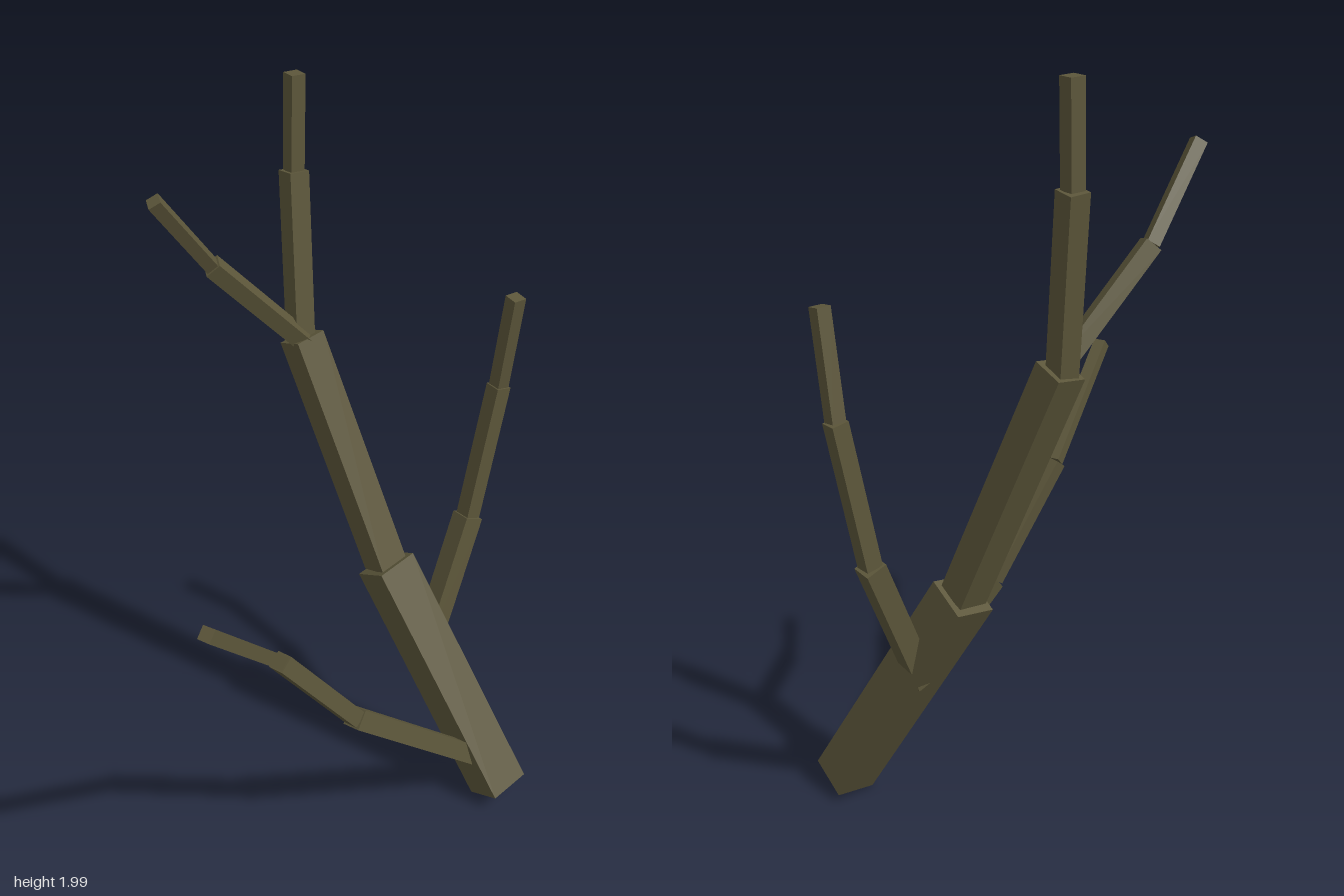
import * as THREE from 'three';

const bark = new THREE.MeshStandardMaterial({ color: 0x5c563a });
bark.name = 'olive bark';

// Square beam from a to b; side gives the rough direction of one pair of faces
function beam(name, a, b, size, side) {
  const start = new THREE.Vector3(...a), end = new THREE.Vector3(...b);
  const along = end.clone().sub(start);
  const length = along.length();
  along.normalize();
  const u = new THREE.Vector3(...side);
  u.addScaledVector(along, -u.dot(along)).normalize();
  const w = new THREE.Vector3().crossVectors(u, along);
  const mesh = new THREE.Mesh(new THREE.BoxGeometry(size, length, size), bark);
  mesh.name = name;
  mesh.quaternion.setFromRotationMatrix(new THREE.Matrix4().makeBasis(u, along, w));
  mesh.position.copy(start).add(end).multiplyScalar(0.5);
  return mesh;
}

// Chain of beams through the points, each thinner than the last
function limb(name, points, sizes, side) {
  const group = new THREE.Group();
  group.name = name;
  sizes.forEach((size, i) => {
    group.add(beam(`${name}Segment${i + 1}`, points[i], points[i + 1], size, side));
  });
  return group;
}

export function createModel() {
  const tree = new THREE.Group();
  tree.name = 'bareTree';

  // Leaning trunk and its continuation to the top
  tree.add(limb('trunk',
    [[0.424, 0.045, 0.195], [0.215, 0.69, -0.12], [0.068, 1.328, -0.33]],
    [0.118, 0.085], [0.958, 0.18, -0.225]));
  tree.add(limb('topBranch',
    [[0.066, 1.31, -0.333], [0.082, 1.757, -0.393], [0.088, 2, -0.394]],
    [0.055, 0.039], [1, 0, -0.13]));

  // Side branches
  tree.add(limb('upperRightBranch',
    [[0.07, 1.32, -0.315], [-0.18, 1.585, -0.315], [-0.337, 1.798, -0.268]],
    [0.044, 0.033], [-0.24, -0.24, 0.94]));
  tree.add(limb('leftBranch',
    [[0.29, 0.42, -0.025], [0.444, 0.81, -0.074], [0.515, 1.2, -0.07], [0.523, 1.47, -0.03]],
    [0.058, 0.045, 0.037], [1, 0, -0.15]));
  tree.add(limb('lowerRightBranch',
    [[0.38, 0.13, 0.145], [-0.06, 0.508, 0.224], [-0.285, 0.803, 0.263], [-0.525, 1.07, 0.404]],
    [0.054, 0.045, 0.034], [0.22, 0.26, 0.94]));

  return tree;
}
